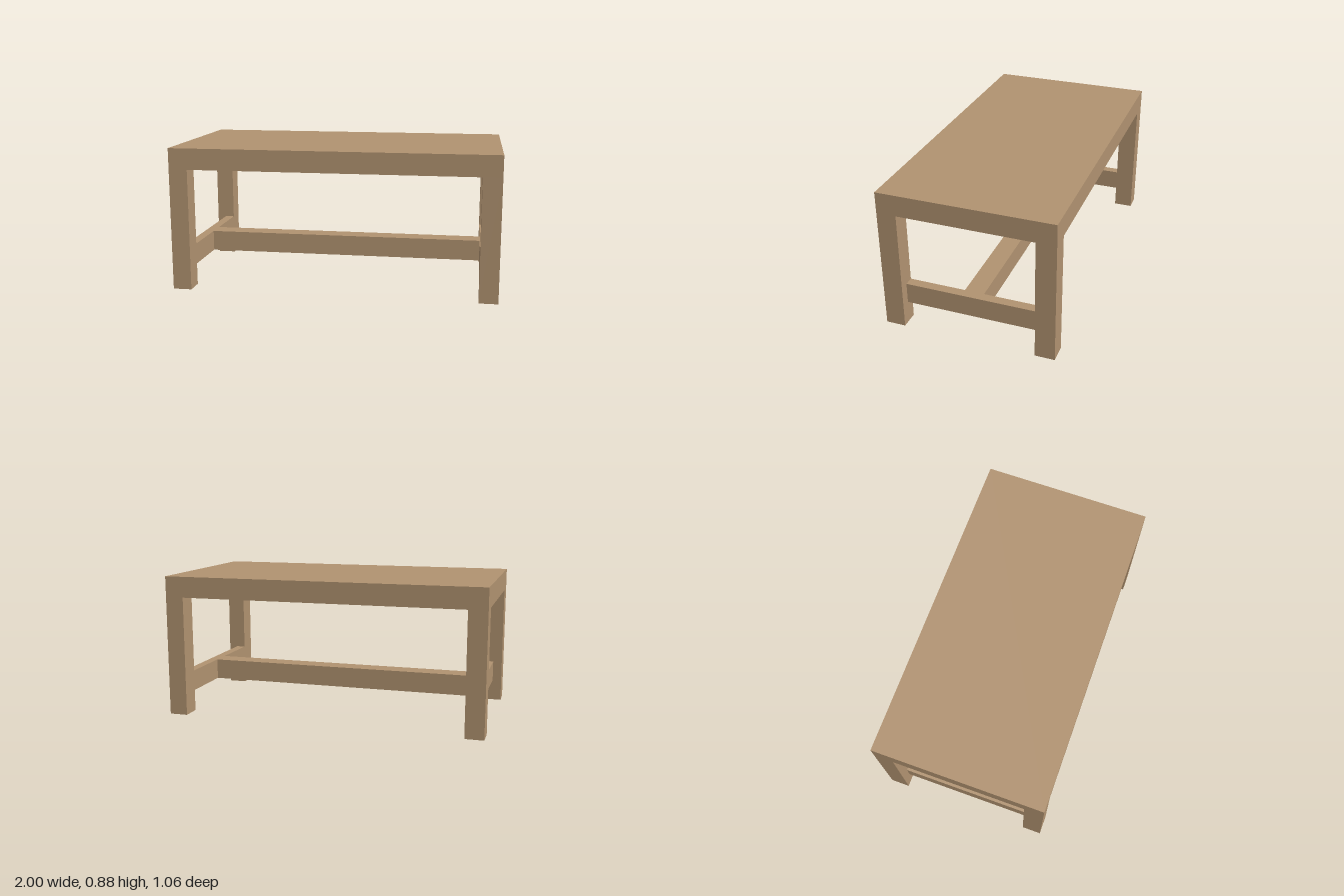
import * as THREE from 'three';

export function createModel() {
  const table = new THREE.Group();
  table.name = 'table';
  const wood = new THREE.MeshStandardMaterial({ color: 0xb09270 });
  wood.name = 'light wood';

  const halfX = 1, halfZ = 0.53, height = 0.885;
  const legX = 0.115, legZ = 0.12, railH = 0.13;
  const underside = height - railH;
  const stretcherY = 0.2;

  function box(name, w, h, d, x, y, z) {
    const mesh = new THREE.Mesh(new THREE.BoxGeometry(w, h, d), wood);
    mesh.name = name;
    mesh.position.set(x, y, z);
    table.add(mesh);
  }

  // Thick solid top, flush with the legs
  box('tableTop', halfX * 2, railH, halfZ * 2, 0, height - railH / 2, 0);

  for (const sx of [-1, 1]) {
    const side = sx > 0 ? 'left' : 'right';

    // Corner legs
    for (const sz of [-1, 1]) {
      box(side + (sz > 0 ? 'FrontLeg' : 'BackLeg'), legX, underside, legZ,
        sx * (halfX - legX / 2), underside / 2, sz * (halfZ - legZ / 2));
    }

    // End stretcher, flush with the inner leg faces
    const thick = 0.058;
    box(side + 'Stretcher', thick, railH, (halfZ - legZ) * 2,
      sx * (halfX - legX + thick / 2), stretcherY, 0);
  }

  // Long stretcher joining the two end stretchers
  box('centreStretcher', (halfX - legX) * 2, railH, 0.12, 0, stretcherY, 0);

  return table;
}
